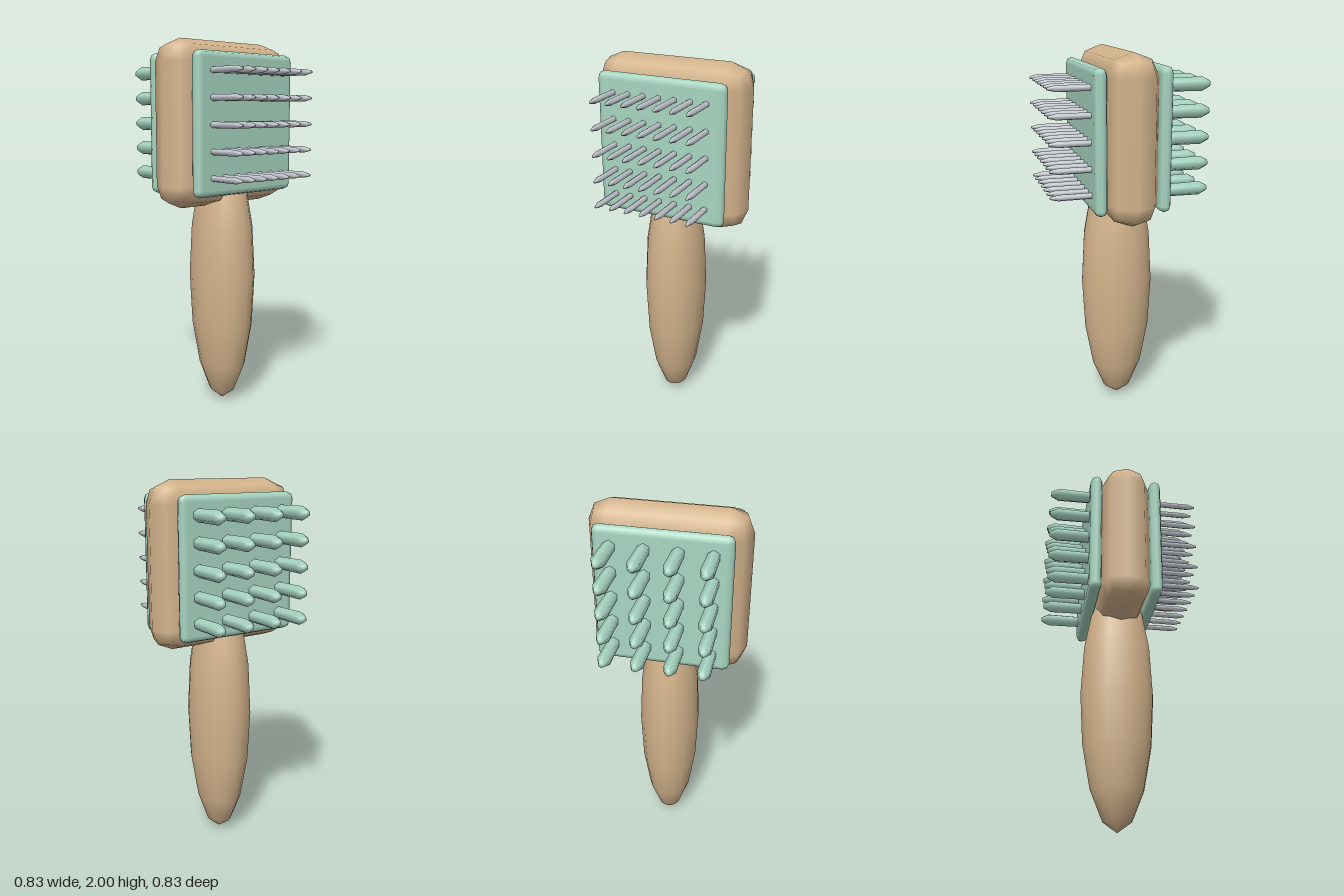
import * as THREE from 'three';

const wood = new THREE.MeshStandardMaterial({ color: 0xd4b48c });
wood.name = 'wood';
const mint = new THREE.MeshStandardMaterial({ color: 0xa8d5c2 });
mint.name = 'mint rubber';
const metal = new THREE.MeshStandardMaterial({ color: 0xc0c6cc });
metal.name = 'metal';

// Box with softly rounded edges: half sizes and rounding radius per axis, two facets per quarter turn
function softBox(half, radius) {
  const geo = new THREE.BoxGeometry(2, 2, 2, 3, 3, 3);
  const pos = geo.attributes.position;
  const nor = geo.attributes.normal;
  const p = new THREE.Vector3();
  const n = new THREE.Vector3();
  const inner = half.clone().sub(radius);
  const snap = (v) => (Math.abs(v) > 0.9 ? Math.sign(v) : 0);
  for (let i = 0; i < pos.count; i++) {
    p.fromBufferAttribute(pos, i);
    n.set(snap(p.x), snap(p.y), snap(p.z)).normalize();
    p.set(Math.sign(p.x), Math.sign(p.y), Math.sign(p.z)).multiply(inner);
    p.add(n.clone().multiply(radius));
    pos.setXYZ(i, p.x, p.y, p.z);
    n.divide(radius).normalize();
    nor.setXYZ(i, n.x, n.y, n.z);
  }
  return geo;
}

// Six-sided pin pointing along +z, with a tapered tip
function pinGeometry(baseR, shoulderR, tipR, shoulder, length) {
  const profile = [
    [baseR, 0], [shoulderR, shoulder], [tipR, length], [0, length],
  ].map(([x, y]) => new THREE.Vector2(x, y));
  return new THREE.LatheGeometry(profile, 6).rotateX(Math.PI / 2);
}

function addMesh(parent, name, geometry, material, x = 0, y = 0, z = 0) {
  const mesh = new THREE.Mesh(geometry, material);
  mesh.name = name;
  mesh.position.set(x, y, z);
  parent.add(mesh);
  return mesh;
}

// Plate with a grid of pins, facing +z
function brushSide(name, columns, pinName, pinGeo, pinMaterial) {
  const side = new THREE.Group();
  side.name = name;
  const plate = softBox(new THREE.Vector3(0.348, 0.367, 0.0335), new THREE.Vector3(0.034, 0.034, 0.0335));
  addMesh(side, 'plate', plate, mint, 0, 1.566, 0.1665);
  for (let row = 0; row < 5; row++) {
    for (let col = 0; col < columns; col++) {
      const x = -0.253 + (0.506 * col) / (columns - 1);
      addMesh(side, pinName, pinGeo, pinMaterial, x, 1.297 + row * 0.1345, 0.18);
    }
  }
  return side;
}

export function createModel() {
  const model = new THREE.Group();
  model.name = 'groomingBrush';

  // Wooden head and tapered oval handle
  const head = softBox(new THREE.Vector3(0.415, 0.435, 0.134), new THREE.Vector3(0.118, 0.118, 0.134));
  addMesh(model, 'head', head, wood, 0, 1.565, 0);
  const handle = new THREE.SphereGeometry(1, 16, 8).scale(0.166, 0.73, 0.199);
  addMesh(model, 'handle', handle, wood, 0, 0.732, 0);

  // Fine metal pins in front, thick rubber bristles behind
  const pin = pinGeometry(0.016, 0.0165, 0.006, 0.19, 0.233);
  model.add(brushSide('pinSide', 7, 'pin', pin, metal));
  const bristle = pinGeometry(0.033, 0.036, 0.015, 0.195, 0.236);
  const back = brushSide('bristleSide', 4, 'bristle', bristle, mint);
  back.rotation.y = Math.PI;
  model.add(back);

  return model;
}
